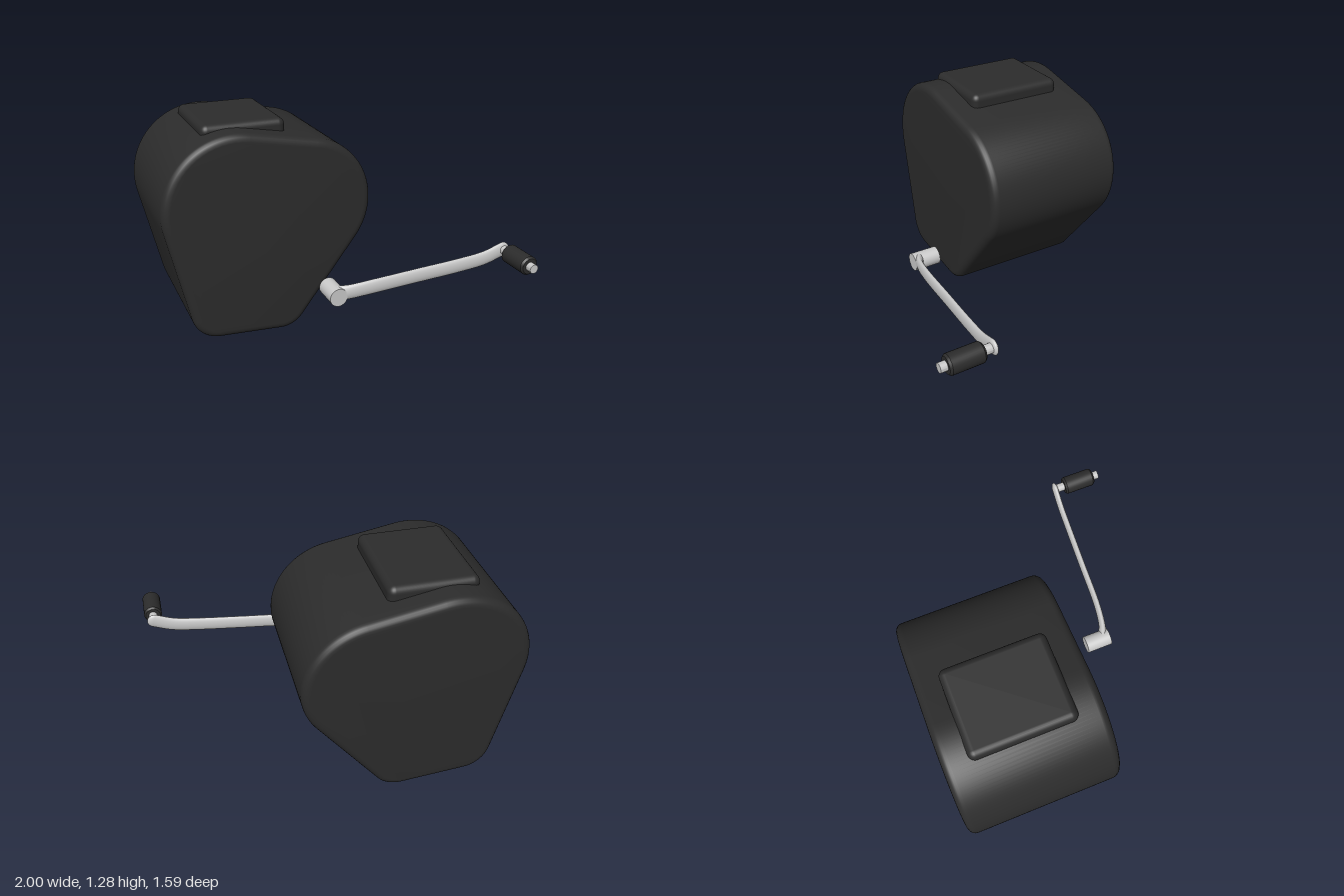
import * as THREE from 'three';
import { toCreasedNormals } from 'three/addons/utils/BufferGeometryUtils.js';
import { RoundedBoxGeometry } from 'three/addons/geometries/RoundedBoxGeometry.js';

const black = new THREE.MeshStandardMaterial({ color: 0x2c2c2c });
black.name = 'black plastic';
const metal = new THREE.MeshStandardMaterial({ color: 0xcacaca });
metal.name = 'pale metal';

function part(name, geometry, material, x = 0, y = 0, z = 0) {
  const mesh = new THREE.Mesh(geometry, material);
  mesh.name = name;
  mesh.position.set(x, y, z);
  return mesh;
}

// Solid turned around the z axis from [radius, z] pairs, back to front
function turned(profile) {
  const points = profile.map(([r, z]) => new THREE.Vector2(r, z));
  const geometry = new THREE.LatheGeometry(points, 32).rotateX(Math.PI / 2);
  return toCreasedNormals(geometry, 0.5);
}

// Outline wrapped tightly around circles [x, y, radius], counter-clockwise
function wrapCircles(circles) {
  const n = circles.length;
  const normals = circles.map(([x, y, r], i) => {
    const [x2, y2, r2] = circles[(i + 1) % n];
    const dx = x2 - x, dy = y2 - y;
    return Math.atan2(dy, dx) - Math.acos((r - r2) / Math.hypot(dx, dy));
  });
  const shape = new THREE.Shape();
  circles.forEach(([x, y, r], i) => {
    shape.absarc(x, y, r, normals[(i + n - 1) % n], normals[i], false);
  });
  shape.closePath();
  return shape;
}

export function createModel() {
  const model = new THREE.Group();
  model.name = 'crankHousing';

  // Housing: rounded outline with soft front and back edges
  const outline = wrapCircles([
    [-0.32, 0.175, 0.172],
    [-0.15, 0.78, 0.405],
    [-0.56, 0.82, 0.44],
    [-0.70, 0.20, 0.17],
  ]);
  const bevel = 0.045;
  const housing = new THREE.ExtrudeGeometry(outline, {
    depth: 0.875 - 2 * bevel, bevelSize: bevel, bevelThickness: bevel,
    bevelOffset: -bevel, bevelSegments: 5, curveSegments: 20,
  });
  model.add(part('housing', toCreasedNormals(housing, 0.5), black, 0, 0, -0.795 + bevel));

  // Pad on top of the housing
  model.add(part('topPad', new RoundedBoxGeometry(0.495, 0.14, 0.59, 4, 0.04), black, -0.4725, 1.215, -0.36));

  // Crank, detached in front of the housing
  const crank = new THREE.Group();
  crank.name = 'crank';
  model.add(crank);
  crank.add(part('crankHub', turned([[0, 0.275], [0.054, 0.275], [0.054, 0.435], [0, 0.435]]), metal, -0.11, 0.35, 0));

  // Arm: a round tube flattened along z
  const flat = 0.4;
  const path = new THREE.CatmullRomCurve3([
    [-0.10, 0.36, 0.395], [-0.04, 0.367, 0.42], [0.1, 0.385, 0.443], [0.4, 0.408, 0.46],
    [0.65, 0.427, 0.474], [0.82, 0.448, 0.483], [0.94, 0.488, 0.49],
  ].map(([x, y, z]) => new THREE.Vector3(x, y, z / flat)));
  crank.add(part('crankArm', new THREE.TubeGeometry(path, 48, 0.045, 20).scale(1, 1, flat), metal));
  crank.add(part('armTip', new THREE.SphereGeometry(0.045, 20, 12).scale(1, 1, flat), metal, 0.94, 0.488, 0.49));

  // Handle: pin with a chamfered grip
  crank.add(part('handlePin', turned([[0, 0.483], [0.027, 0.483], [0.027, 0.795], [0, 0.795]]), metal, 0.943, 0.488, 0));
  crank.add(part('handleGrip', turned([
    [0.02, 0.552], [0.047, 0.552], [0.057, 0.564], [0.057, 0.744], [0.047, 0.756], [0.02, 0.756],
  ]), black, 0.943, 0.488, 0));

  return model;
}
